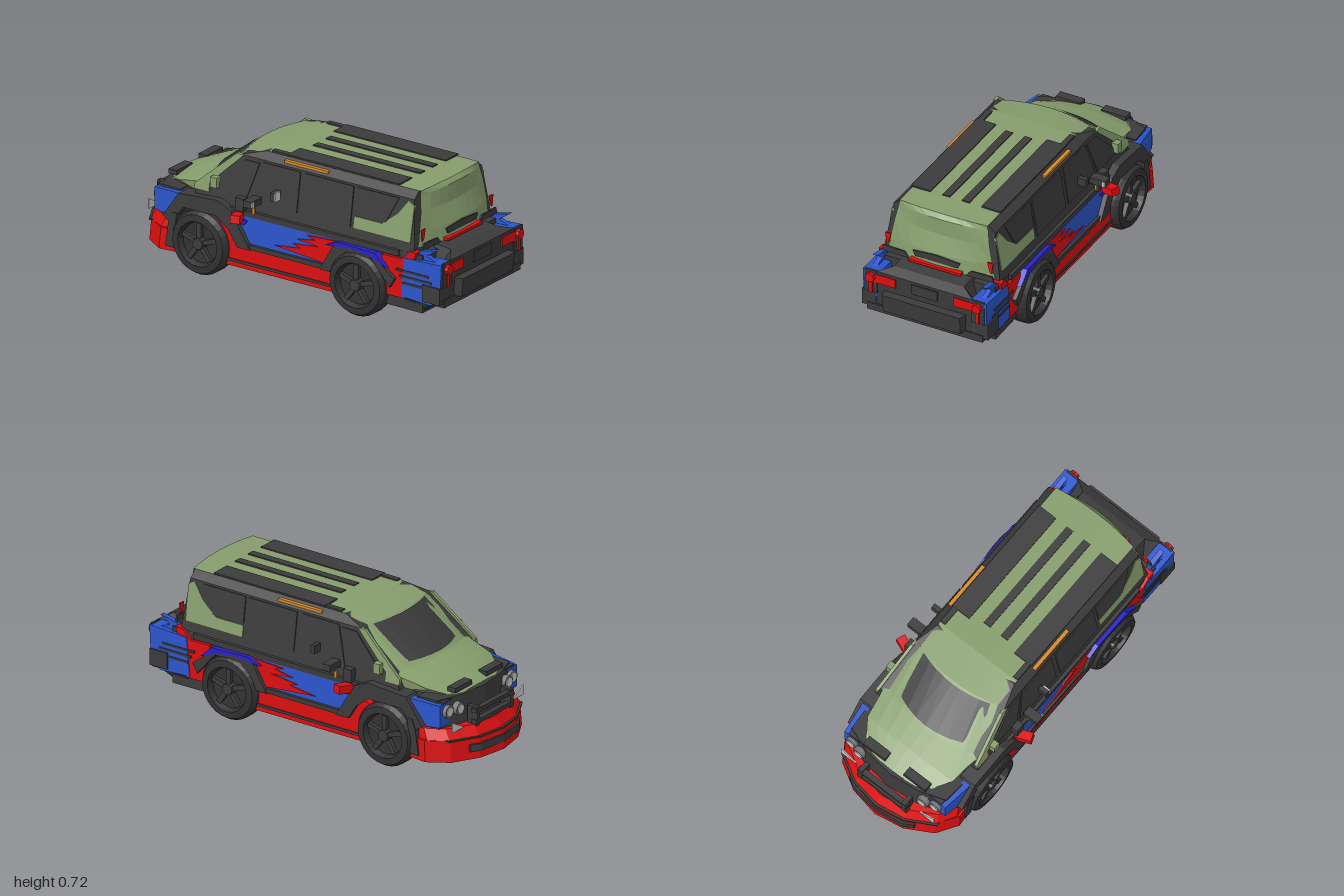
import * as THREE from 'three';

const mat = (name, color, side = THREE.FrontSide) => {
  const m = new THREE.MeshStandardMaterial({ color, side, flatShading: true });
  m.name = name;
  return m;
};

export function createModel() {
  const car = new THREE.Group();
  car.name = 'car';
  const dark = mat('charcoal', 0x3b3b3b), tyreMat = mat('tyre', 0x323232), red = mat('red', 0xdc0f10);
  const blue = mat('blue', 0x2b55cc), violet = mat('violet', 0x2a22c8), orange = mat('orange', 0xd88a22);
  const green = mat('green', 0x869d6c, THREE.DoubleSide), pale = mat('paleGrey', 0xcfcfcf), grey = mat('grey', 0x777777);

  const add = (name, geo, m, parent = car) => {
    const mesh = new THREE.Mesh(geo, m);
    mesh.name = name;
    parent.add(mesh);
    return mesh;
  };
  const val = (f, z, y) => (typeof f === 'function' ? f(z, y) : f);
  const shape = (pts) => new THREE.Shape(pts.map((p) => new THREE.Vector2(p[0], p[1])));

  // side outline [z, y] spanning from x = lo to x = hi
  function slab(name, m, pts, lo, hi) {
    const geo = new THREE.ExtrudeGeometry(shape(pts), { depth: 1, bevelEnabled: false });
    const p = geo.attributes.position;
    for (let i = 0; i < p.count; i++) {
      const z = p.getX(i), y = p.getY(i), a = val(lo, z, y), b = val(hi, z, y);
      p.setXYZ(i, b - p.getZ(i) * (b - a), y, z);
    }
    geo.computeVertexNormals();
    return add(name, geo, m);
  }
  const neg = (f) => (z, y) => -val(f, z, y);
  const full = (name, m, pts, w) => slab(name, m, pts, neg(w), w);
  const pair = (name, m, pts, lo, hi) => {
    slab(name + 'Left', m, pts, lo, hi);
    slab(name + 'Right', m, pts, neg(hi), neg(lo));
  };
  // half plan outline [x, z], mirrored, extruded from y0 to y1; the top is shrunk by a factor
  function plan(name, m, half, y0, y1, top = 1) {
    const other = half.filter((p) => p[0] > 0).map(([x, z]) => [-x, z]).reverse();
    const pts = [...half, ...other].map(([x, z]) => [x, -z]);
    const geo = new THREE.ExtrudeGeometry(shape(pts), { depth: y1 - y0, bevelEnabled: false });
    geo.rotateX(-Math.PI / 2).translate(0, y0, 0);
    const p = geo.attributes.position;
    for (let i = 0; i < p.count; i++) {
      if (p.getY(i) > (y0 + y1) / 2) p.setXYZ(i, p.getX(i) * top, p.getY(i), p.getZ(i) * top);
    }
    geo.computeVertexNormals();
    return add(name, geo, m);
  }
  const box = (name, m, x, y, z, w, h, d) => add(name, new THREE.BoxGeometry(w, h, d).translate(x, y, z), m);
  const boxes = (name, m, x, ...r) => [1, -1].forEach((s) => box(name + (s > 0 ? 'Left' : 'Right'), m, s * x, ...r));
  // face outline [x, y] as a plate starting at depth z
  const plate = (name, m, pts, z, d = 0.008) => [1, -1].forEach((s) => {
    const q = pts.map(([x, y]) => [x * s, y]);
    add(name, new THREE.ExtrudeGeometry(shape(q), { depth: d, bevelEnabled: false }).translate(0, 0, z), m);
  });
  // bowed skin over stations [edge z, centre z, edge y, centre y, half width]
  function skin(name, m, stations) {
    const n = 9, pos = [], idx = [];
    stations.forEach(([ze, zc, ye, yc, w], s) => {
      for (let i = 0; i < n; i++) {
        const t = (i / (n - 1)) * 2 - 1, k = t * t, a = s * n + i;
        pos.push(t * w, yc + (ye - yc) * k, zc + (ze - zc) * k);
        if (s < stations.length - 1 && i < n - 1) idx.push(a, a + 1, a + n, a + 1, a + n + 1, a + n);
      }
    });
    const geo = new THREE.BufferGeometry();
    geo.setAttribute('position', new THREE.Float32BufferAttribute(pos, 3));
    geo.setIndex(idx);
    geo.computeVertexNormals();
    return add(name, geo, m);
  }

  // main body and cabin
  const cabinX = (z, y) => 0.335 - (y - 0.38) * 0.155;
  full('lowerBody', dark, [[-0.8, 0.09], [0.82, 0.09], [0.82, 0.4], [-0.84, 0.4]], (z) => (z < -0.7 ? 0.3 : 0.335));
  full('cabin', dark, [[0.77, 0.38], [0.74, 0.67], [-0.33, 0.67], [-0.57, 0.47], [-0.6, 0.38]], cabinX);
  full('roofShoulder', dark, [[0.74, 0.67], [0.74, 0.705], [-0.2, 0.705], [-0.33, 0.67]], (z, y) => (y > 0.69 ? 0.25 : 0.29));

  // green upper skin, hood and windscreen
  skin('roofAndTailgate', green, [[0.77, 0.83, 0.42, 0.42, 0.3], [0.77, 0.82, 0.5, 0.5, 0.29], [0.765, 0.79, 0.6, 0.6, 0.27],
    [0.75, 0.79, 0.68, 0.69, 0.255], [0.75, 0.77, 0.706, 0.713, 0.25], [-0.18, -0.18, 0.706, 0.714, 0.25],
    [-0.33, -0.37, 0.678, 0.685, 0.25], [-0.54, -0.61, 0.48, 0.5, 0.305]]);
  skin('windscreen', dark, [[-0.345, -0.385, 0.676, 0.682, 0.215], [-0.515, -0.597, 0.512, 0.518, 0.262]]);
  full('hoodBase', green, [[-0.5, 0.39], [-0.5, 0.485], [-0.57, 0.472], [-0.74, 0.43], [-0.85, 0.39]], (z) => (z < -0.8 ? 0.18 : z < -0.7 ? 0.26 : 0.3));
  skin('hood', green, [[-0.53, -0.6, 0.485, 0.505, 0.303], [-0.72, -0.73, 0.437, 0.465, 0.275], [-0.84, -0.86, 0.4, 0.415, 0.17]]);

  // roof strips
  boxes('roofPanel', dark, 0.2, 0.713, 0.275, 0.11, 0.008, 0.69);
  boxes('roofStripe', dark, 0.055, 0.715, 0.29, 0.042, 0.008, 0.66);
  boxes('roofLamp', orange, 0.272, 0.688, 0.065, 0.02, 0.014, 0.27);
  boxes('roofEdge', dark, 0.235, 0.71, -0.12, 0.03, 0.01, 0.1);

  // side glass, quarter window and door trim
  const out = (d) => (z, y) => cabinX(z, y) + d;
  const glass = (name, m, pts, d) => pair(name, m, pts, out(-0.01), out(d));
  glass('rearQuarter', green, [[0.74, 0.45], [0.39, 0.45], [0.39, 0.51], [0.56, 0.51], [0.65, 0.58], [0.71, 0.66], [0.745, 0.64]], 0.004);
  glass('rearWindow', dark, [[0.58, 0.52], [0.39, 0.52], [0.39, 0.66], [0.65, 0.66]], 0.006);
  glass('middleWindow', dark, [[0.37, 0.45], [0.07, 0.45], [0.07, 0.66], [0.37, 0.66]], 0.006);
  glass('doorWindow', dark, [[0.04, 0.45], [-0.25, 0.45], [-0.19, 0.66], [0.04, 0.66]], 0.006);
  glass('frontWindow', dark, [[-0.27, 0.46], [-0.48, 0.47], [-0.3, 0.65], [-0.21, 0.65]], 0.006);
  glass('windscreenPillar', green, [[-0.5, 0.44], [-0.59, 0.44], [-0.59, 0.47], [-0.35, 0.675], [-0.31, 0.67], [-0.5, 0.49]], 0.007);
  pair('beltTrim', dark, [[0.68, 0.37], [-0.36, 0.37], [-0.36, 0.4], [0.68, 0.4]], 0.3, 0.35);

  // lower side panels, flames and sill
  pair('doorPanel', blue, [[0.5, 0.2], [-0.36, 0.2], [-0.36, 0.37], [0.5, 0.37]], 0.3, 0.345);
  pair('sill', red, [[0.34, 0.085], [-0.42, 0.085], [-0.42, 0.3], [-0.35, 0.33], [-0.24, 0.21], [0.34, 0.21]], 0.3, 0.349);
  pair('sillLine', dark, [[0.3, 0.11], [-0.4, 0.11], [-0.4, 0.125], [0.3, 0.125]], 0.3, 0.355);
  pair('sillTrim', dark, [[0.3, 0.2], [-0.24, 0.2], [-0.24, 0.225], [0.3, 0.225]], 0.3, 0.36);
  pair('lowerFlame', red, [[0.3, 0.22], [0.1, 0.24], [-0.08, 0.255], [0.08, 0.275], [0.03, 0.29], [0.3, 0.32]], 0.33, 0.351);
  pair('upperFlame', red, [[0.3, 0.3], [0.06, 0.32], [0.17, 0.34], [0.12, 0.355], [0.3, 0.365]], 0.33, 0.352);
  pair('rearAccent', violet, [[0.62, 0.3], [0.55, 0.365], [0.32, 0.372], [0.25, 0.34], [0.4, 0.355], [0.52, 0.34]], 0.33, 0.372);
  pair('frontAccent', violet, [[-0.36, 0.33], [-0.3, 0.36], [-0.25, 0.345], [-0.27, 0.32]], 0.33, 0.352);

  // wheel-arch flares
  pair('frontArch', dark, [[-0.22, 0.2], [-0.34, 0.39], [-0.42, 0.425], [-0.66, 0.41], [-0.76, 0.27], [-0.71, 0.24],
    [-0.63, 0.34], [-0.43, 0.34], [-0.35, 0.28], [-0.3, 0.2]], 0.28, 0.37);
  pair('rearArch', dark, [[0.21, 0.2], [0.29, 0.34], [0.36, 0.365], [0.53, 0.36], [0.67, 0.25], [0.64, 0.2],
    [0.53, 0.33], [0.37, 0.33], [0.27, 0.2]], 0.28, 0.37);
  pair('rearFender', red, [[0.58, 0.15], [0.72, 0.15], [0.79, 0.41], [0.75, 0.41], [0.7, 0.36], [0.58, 0.36]], 0.3, 0.348);
  pair('frontFender', blue, [[-0.68, 0.26], [-0.84, 0.27], [-0.84, 0.39], [-0.66, 0.4]], 0.24, (z) => (z < -0.75 ? 0.325 : 0.35));

  // nose: bumper, intake, grille, bull bar and lamps
  plan('frontBumper', red, [[0.36, -0.66], [0.37, -0.78], [0.3, -0.89], [0.16, -0.97], [0, -1]], 0.085, 0.2, 0.99);
  plan('bumperTop', red, [[0.345, -0.68], [0.355, -0.78], [0.3, -0.88], [0.16, -0.96], [0, -0.985]], 0.2, 0.255, 0.965);
  plan('intake', dark, [[0.21, -0.9], [0.21, -0.945], [0.16, -0.977], [0, -1]], 0.125, 0.165, 0.999);
  plan('bumperLip', dark, [[0.31, -0.7], [0.31, -0.886], [0.16, -0.97], [0, -0.997]], 0.195, 0.203);
  plan('grille', dark, [[0.32, -0.7], [0.31, -0.82], [0.17, -0.87], [0, -0.89]], 0.25, 0.405, 0.985);
  [0.27, 0.33].forEach((y) => box('bullBar', dark, 0, y, -0.93, 0.32, 0.022, 0.03));
  boxes('bullBarPost', dark, 0.14, 0.3, -0.915, 0.025, 0.1, 0.06);
  [[0.205, -0.865], [0.27, -0.845]].forEach(([x, z]) => [1, -1].forEach((s) => {
    const ring = new THREE.CylinderGeometry(0.034, 0.034, 0.03, 14).rotateX(Math.PI / 2);
    add('headlampRing', ring.translate(s * x, 0.345, z), grey);
    add('headlamp', new THREE.CylinderGeometry(0.025, 0.025, 0.04, 14).rotateX(Math.PI / 2).translate(s * x, 0.345, z), pale);
  }));
  plate('noseMarker', pale, [[0.2, 0.25], [0.3, 0.25], [0.3, 0.305]], -0.9);
  pair('bumperFin', dark, [[-0.69, 0.11], [-0.74, 0.11], [-0.72, 0.25], [-0.7, 0.3], [-0.67, 0.3]], 0.33, 0.374);
  boxes('hoodVent', dark, 0.13, 0.432, -0.82, 0.14, 0.025, 0.05);

  // tail: trunk, bumper, corner pods and lamps
  full('trunk', dark, [[0.78, 0.17], [0.94, 0.17], [0.95, 0.385], [0.9, 0.41], [0.8, 0.42]], (z, y) => (y > 0.4 ? 0.2 : 0.275));
  plan('rearBumper', dark, [[0.25, 0.85], [0, 0.85], [0, 0.99], [0.22, 0.98]].filter((p) => p[0] > 0), 0.18, 0.28, 1.012);
  box('rearBumperStep', dark, 0, 0.165, 0.9, 0.66, 0.04, 0.1);
  full('rearValance', dark, [[0.72, 0.085], [0.8, 0.085], [0.87, 0.15], [0.72, 0.15]], (z, y) => (y > 0.1 ? 0.345 : 0.3));
  box('licencePlate', dark, 0, 0.343, 0.951, 0.15, 0.055, 0.012);
  boxes('tailLamp', red, 0.225, 0.343, 0.949, 0.12, 0.05, 0.012);
  box('tailgateLamp', red, 0, 0.432, 0.83, 0.295, 0.014, 0.03);
  plate('tailgateVent', dark, [[0, 0.455], [0.12, 0.455], [0.135, 0.485], [0, 0.495]], 0.82);
  plate('tailgateCorner', dark, [[0.16, 0.42], [0.32, 0.42], [0.31, 0.455], [0.19, 0.45]], 0.805);
  pair('cornerPod', blue, [[0.7, 0.16], [0.88, 0.15], [0.94, 0.18], [0.95, 0.38], [0.72, 0.37]], 0.26, 0.352);
  [0.235, 0.27, 0.3].forEach((y, i) => boxes('podGroove', dark, 0.345, y, 0.81 - i * 0.02, 0.022, 0.012, 0.2));
  boxes('podBack', dark, 0.305, 0.32, 0.947, 0.07, 0.13, 0.012);
  boxes('podFoot', dark, 0.32, 0.21, 0.89, 0.08, 0.09, 0.11);
  boxes('podLamp', red, 0.304, 0.3, 0.955, 0.02, 0.085, 0.014);
  [1, -1].forEach((s) => add('podLampRound', new THREE.CylinderGeometry(0.026, 0.026, 0.03, 8).rotateX(Math.PI / 2).translate(s * 0.304, 0.348, 0.957), red));
  pair('podFin', blue, [[0.78, 0.37], [0.92, 0.37], [0.84, 0.4], [0.9, 0.44], [0.8, 0.42]], 0.298, 0.325);
  plate('windowFin', red, [[0.275, 0.522], [0.308, 0.522], [0.3, 0.46], [0.288, 0.47]], 0.79);

  // mirrors and small side fittings
  boxes('upperMirror', dark, 0.345, 0.52, -0.08, 0.05, 0.045, 0.025);
  box('upperMirrorFace', pale, -0.35, 0.52, -0.064, 0.04, 0.045, 0.008);
  boxes('mirror', dark, 0.375, 0.468, -0.2, 0.09, 0.036, 0.05);
  boxes('mirrorTip', pale, 0.41, 0.468, -0.173, 0.015, 0.03, 0.008);
  boxes('mirrorStem', dark, 0.345, 0.43, -0.29, 0.04, 0.07, 0.05);
  boxes('sideMarker', orange, 0.35, 0.41, -0.21, 0.012, 0.035, 0.015);
  boxes('greenMirror', green, 0.325, 0.505, -0.46, 0.05, 0.055, 0.04);
  [1, -1].forEach((s) => {
    const wing = add('redMirror', new THREE.BoxGeometry(0.085, 0.042, 0.05), red);
    wing.position.set(s * 0.388, 0.368, -0.285);
    wing.rotation.set(0, s * -0.35, s * 0.12);
  });

  // wheels with five-spoke rims, and the bulky inner wheels beside them
  const tyre = new THREE.LatheGeometry([[0.115, 0.285], [0.15, 0.285], [0.17, 0.305], [0.17, 0.365], [0.155, 0.388], [0.12, 0.392],
    [0.108, 0.36], [0, 0.35]].map(([r, h]) => new THREE.Vector2(r, h)), 28).rotateZ(-Math.PI / 2);
  const inner = new THREE.CylinderGeometry(0.115, 0.14, 0.09, 14).rotateZ(Math.PI / 2);
  [['rear', 0.44, 0.055], ['front', -0.53, -0.055]].forEach(([label, z, shift]) => [1, -1].forEach((s) => {
    const wheel = new THREE.Group();
    wheel.name = label + 'Wheel';
    wheel.position.set(0, 0.17, z);
    wheel.rotation.y = s > 0 ? 0 : Math.PI;
    add('tyre', tyre, tyreMat, wheel);
    add('hub', new THREE.CylinderGeometry(0.03, 0.036, 0.04, 10).rotateZ(-Math.PI / 2).translate(0.37, 0, 0), dark, wheel);
    for (let i = 0; i < 5; i++) {
      add('spoke', new THREE.BoxGeometry(0.025, 0.095, 0.026).translate(0.365, 0.06, 0).rotateX((i * Math.PI * 2) / 5), dark, wheel);
    }
    add('innerWheel', inner, tyreMat, wheel).position.set(0.27, 0.01, s * shift);
    car.add(wheel);
  }));

  return car;
}
